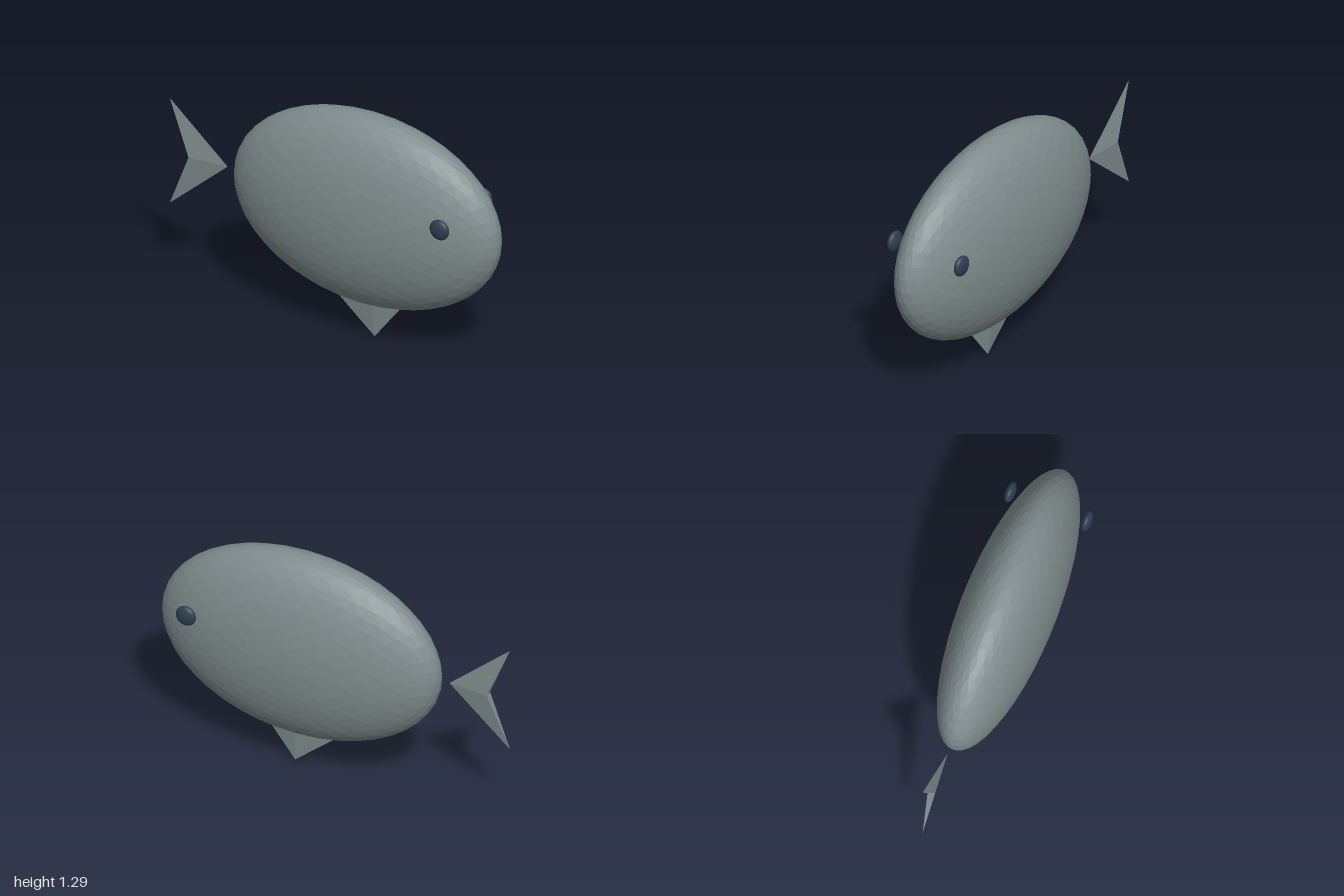
import * as THREE from 'three';

// Faceted solid from corner points and triangles
function facets(points, faces) {
  const geometry = new THREE.BufferGeometry();
  geometry.setAttribute('position', new THREE.Float32BufferAttribute(points.flat(), 3));
  geometry.setIndex(faces.flat());
  const flat = geometry.toNonIndexed();
  flat.computeVertexNormals();
  return flat;
}

// Ellipsoid with evenly spread triangular facets
function ellipsoid(rx, ry, rz, detail) {
  const geometry = new THREE.IcosahedronGeometry(1, detail).scale(rx, ry, rz);
  geometry.computeVertexNormals();
  return geometry;
}

export function createModel() {
  const group = new THREE.Group();
  const skin = new THREE.MeshStandardMaterial({ color: 0x7f8c8d });
  skin.name = 'grey skin';
  const dark = new THREE.MeshStandardMaterial({ color: 0x2c3e50 });
  dark.name = 'dark blue eye';

  function add(name, geometry, material, x = 0, y = 0, z = 0) {
    const mesh = new THREE.Mesh(geometry, material);
    mesh.name = name;
    mesh.position.set(x, y, z);
    group.add(mesh);
  }

  // Body
  add('body', ellipsoid(0.8, 0.55, 0.24, 7), skin, 0.2, 0.745, 0);

  // Eyes
  for (const [name, side] of [['rightEye', 1], ['leftEye', -1]]) {
    add(name, ellipsoid(0.057, 0.057, 0.026, 7), dark, 0.764, 0.865, side * 0.213);
  }

  // Tail fin: notched arrowhead, thickest at the notch
  add('tailFin', facets(
    [[-0.65, 0.745, 0], [-1, 1.05, 0], [-1, 0.438, 0], [-0.875, 0.745, 0.02], [-0.875, 0.745, -0.02]],
    [[0, 1, 3], [0, 3, 2], [0, 4, 1], [0, 2, 4], [1, 4, 3], [2, 3, 4]],
  ), skin);

  // Belly fin: diamond-sectioned pyramid pointing down, rooted in the body
  add('bellyFin', facets(
    [[0.24, 0.003, 0], [-0.11, 0.3, 0], [0.23, 0.3, 0.03], [0.47, 0.3, 0], [0.23, 0.3, -0.03]],
    [[0, 2, 1], [0, 3, 2], [0, 4, 3], [0, 1, 4], [1, 2, 3], [1, 3, 4]],
  ), skin);

  return group;
}
